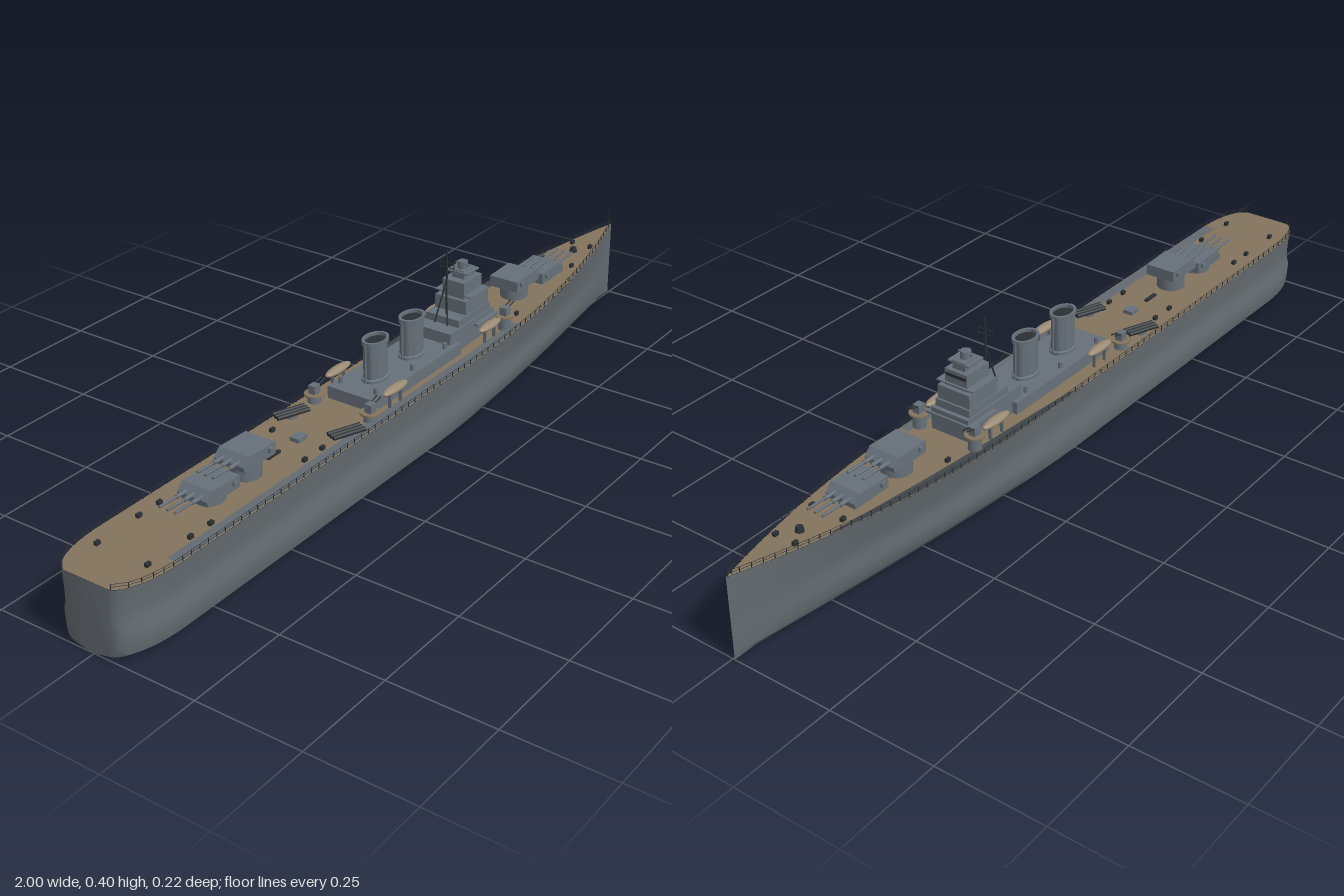
import * as THREE from 'three';
import { toCreasedNormals, mergeGeometries } from 'three/addons/utils/BufferGeometryUtils.js';

const mat = (name, color, side = THREE.FrontSide) => {
  const m = new THREE.MeshStandardMaterial({ color, side });
  m.name = name;
  return m;
};

// Half-width of the deck, midships bulge and bilge at a position along the ship
const stern = (x, full) => {
  const t = Math.min(1, (x + 1) / 0.15);
  return full * (0.5 + 0.5 * Math.sqrt(1 - (1 - t) ** 2));
};
const bow = (x, start, power) => 1 - Math.max(0, (x - start) / (1 - start)) ** power;
const deckHalf = x => stern(x, 0.108) * bow(x, 0.2, 2.2);
const bulgeHalf = x => stern(x, 0.111) * bow(x, 0.1, 1.8);
const bilgeHalf = x => stern(x, 0.105) * bow(x, 0.0, 1.6);
const deckY = x => 0.166 + 0.031 * Math.max(0, (x - 0.1) / 0.9) ** 1.5;

const stations = [];
for (let i = 0; i <= 10; i++) stations.push(-1 + 0.15 * (1 - Math.cos(i / 10 * Math.PI / 2)));
for (let i = 1; i <= 34; i++) stations.push(-0.85 + 1.85 * i / 34);

function surface(points, indices) {
  const g = new THREE.BufferGeometry();
  g.setAttribute('position', new THREE.Float32BufferAttribute(points, 3));
  g.setIndex(indices);
  g.computeVertexNormals();
  return g;
}

function hullGeometry() {
  const pts = [], idx = [];
  let n = 0;
  stations.forEach((x, i) => {
    const d = deckHalf(x), b = bulgeHalf(x), k = bilgeHalf(x), y = deckY(x);
    const half = [[d, y], [d * 0.3 + b * 0.64, 0.12], [b * 0.93, 0.085], [b, 0.068],
      [b * 0.5 + k * 0.5, 0.03], [k, 0.016], [k * 0.9, 0.01], [k * 0.5, 0.005]];
    const ring = [...half, [0, 0], ...half.slice().reverse().map(([z, h]) => [-z, h])];
    n = ring.length;
    ring.forEach(([z, h]) => pts.push(x, h, z));
    if (i === 0) return;
    for (let j = 0; j < n - 1; j++) {
      const a = (i - 1) * n + j, c = a + n;
      idx.push(a, a + 1, c, a + 1, c + 1, c);
    }
  });
  // close the stern
  const o = pts.length / 3;
  pts.push(-1, deckY(-1), 0);
  for (let j = 0; j < n - 1; j++) idx.push(o, j + 1, j);
  return toCreasedNormals(surface(pts, idx), 0.6);
}

// Deck band between two edges given as functions of x
function band(xs, zMin, zMax, lift) {
  const pts = [], idx = [];
  xs.forEach((x, i) => {
    pts.push(x, deckY(x) + lift, zMin(x), x, deckY(x) + lift, zMax(x));
    const a = 2 * i - 2;
    if (i) idx.push(a, a + 1, a + 3, a, a + 3, a + 2);
  });
  return surface(pts, idx);
}

export function createModel() {
  const root = new THREE.Group();
  root.name = 'warship';
  const ship = new THREE.Group();
  ship.name = 'ship';
  ship.position.z = -0.005;
  root.add(ship);

  const hullGrey = mat('hull grey', 0x636a6f);
  const grey = mat('superstructure grey', 0x667079);
  const wood = mat('deck wood', 0x82735d, THREE.DoubleSide);
  const tan = mat('boat tan', 0x9a8a72);
  const dark = mat('dark fittings', 0x2b3034);
  const shade = mat('waterway grey', 0x40464b, THREE.DoubleSide);

  const add = (name, geo, m, x = 0, y = 0, z = 0, parent = ship) => {
    const mesh = new THREE.Mesh(geo, m);
    mesh.name = name;
    mesh.position.set(x, y, z);
    parent.add(mesh);
    return mesh;
  };
  // Box from x range, y range and half-width
  const block = (name, x0, x1, y0, y1, half, m = grey, z = 0, parent = ship) =>
    add(name, new THREE.BoxGeometry(x1 - x0, y1 - y0, half * 2), m, (x0 + x1) / 2, (y0 + y1) / 2, z, parent);
  const rod = (name, a, b, r, m = grey, parent = ship) => {
    const p = new THREE.Vector3(...a), q = new THREE.Vector3(...b), d = q.clone().sub(p);
    const mesh = add(name, new THREE.CylinderGeometry(r, r, d.length(), 8), m, 0, 0, 0, parent);
    mesh.position.copy(p).add(q).multiplyScalar(0.5);
    mesh.quaternion.setFromUnitVectors(new THREE.Vector3(0, 1, 0), d.normalize());
    return mesh;
  };

  // Hull and deck
  add('hull', hullGeometry(), hullGrey);
  add('deck', band(stations, x => -deckHalf(x), deckHalf, 0.0005), wood);
  const range = (a, b) => Array.from({ length: 21 }, (_, i) => a + (b - a) * i / 20);
  add('leftWaterway', band(range(-0.86, 0.38), () => 0.077, x => deckHalf(x) - 0.002, 0.002), hullGrey);
  add('rightWaterway', band(range(0, 0.78), x => -deckHalf(x), x => -deckHalf(x) + 0.026 * Math.sin(Math.PI * x / 0.78) ** 0.6, 0.002), shade);

  // Railing posts and wires
  const rails = [];
  for (const s of [-1, 1]) {
    let last = null;
    for (let i = 0; i <= 80; i++) {
      const x = -0.998 + 1.994 * i / 80;
      const p = new THREE.Vector3(x, deckY(x), s * (deckHalf(x) - 0.001));
      rails.push(new THREE.BoxGeometry(0.0015, 0.012, 0.0015).translate(p.x, p.y + 0.006, p.z));
      if (last) for (const h of [0.006, 0.012]) {
        const d = p.clone().sub(last), g = new THREE.BoxGeometry(d.length(), 0.0007, 0.0007);
        g.rotateY(-Math.atan2(d.z, d.x));
        rails.push(g.translate((p.x + last.x) / 2, (p.y + last.y) / 2 + h, (p.z + last.z) / 2));
      }
      last = p;
    }
  }
  add('railings', mergeGeometries(rails), dark);
  rod('bowStaff', [0.985, 0.195, 0], [0.985, 0.24, 0], 0.0012, dark);

  // Main gun turrets: gun house with sloped front, three barrels
  const profile = new THREE.Shape([[-0.05, 0], [0.05, 0], [0.052, 0.012], [0.035, 0.03], [-0.05, 0.027]]
    .map(([x, y]) => new THREE.Vector2(x, y)));
  const turret = (name, x, y, dir) => {
    const g = new THREE.Group();
    g.name = name;
    g.position.set(x, y, 0);
    if (dir < 0) g.rotation.y = Math.PI;
    ship.add(g);
    const house = new THREE.ExtrudeGeometry(profile, { depth: 0.078, bevelEnabled: false }).translate(0, 0, -0.039);
    add('gunHouse', house, grey, 0, 0, 0, g);
    const h = y - deckY(x) + 0.002;
    add('barbette', new THREE.CylinderGeometry(0.034, 0.034, h, 24), grey, 0, -h / 2, 0, g);
    block('rangefinder', -0.038, -0.026, 0.012, 0.022, 0.045, grey, 0, g);
    for (const z of [-0.02, 0, 0.02]) {
      rod('barrelSleeve', [0.04, 0.016, z], [0.075, 0.017, z], 0.0048, grey, g);
      rod('barrel', [0.07, 0.017, z], [0.125, 0.019, z], 0.003, grey, g);
    }
  };
  turret('foreTurret', 0.63, 0.187, 1);
  turret('foreUpperTurret', 0.51, 0.209, 1);
  turret('aftUpperTurret', -0.53, 0.205, -1);
  turret('aftTurret', -0.645, 0.182, -1);

  // Deckhouse and bridge tower
  block('deckhouse', -0.17, 0.18, 0.16, 0.196, 0.062);
  block('bridgeBase', 0.15, 0.335, 0.16, 0.224, 0.05);
  block('bridgeWing', 0.25, 0.34, 0.208, 0.213, 0.062);
  block('lowerBridge', 0.19, 0.325, 0.224, 0.242, 0.046);
  block('middleBridge', 0.225, 0.32, 0.242, 0.275, 0.043);
  block('upperBridge', 0.235, 0.31, 0.275, 0.315, 0.03);
  block('bridgeDeck', 0.235, 0.315, 0.281, 0.284, 0.05);
  block('windowBand', 0.3095, 0.3115, 0.3, 0.307, 0.027, dark);
  block('directorTower', 0.255, 0.3, 0.315, 0.335, 0.017);
  block('lookoutPlatform', 0.25, 0.302, 0.329, 0.333, 0.028);
  add('director', new THREE.CylinderGeometry(0.012, 0.013, 0.018, 16), grey, 0.275, 0.343, 0);
  rod('directorRangefinder', [0.275, 0.345, -0.019], [0.275, 0.345, 0.019], 0.003);

  // Tripod mast with yards
  rod('mast', [0.208, 0.2, 0], [0.208, 0.402, 0], 0.0022, dark);
  for (const s of [-1, 1]) rod('mastLeg', [0.18, 0.196, s * 0.022], [0.208, 0.33, 0], 0.0018, dark);
  for (const y of [0.36, 0.372]) rod('yard', [0.208, y, -0.02], [0.208, y, 0.02], 0.0012, dark);
  for (const z of [-0.019, 0.019]) rod('yardPost', [0.208, 0.354, z], [0.208, 0.376, z], 0.0009, dark);

  // Funnels: oval shell with rim and dark mouth
  for (const x of [-0.075, 0.066]) {
    const g = new THREE.Group();
    g.name = 'funnel';
    g.position.set(x, 0.19, 0);
    g.scale.z = 0.72;
    ship.add(g);
    const shell = [[0.038, 0], [0.038, 0.012], [0.033, 0.014], [0.033, 0.092], [0.037, 0.094], [0.037, 0.104], [0.03, 0.104], [0.03, 0.094], [0, 0.094]];
    const lathe = new THREE.LatheGeometry(shell.map(p => new THREE.Vector2(...p)), 28);
    add('funnelShell', toCreasedNormals(lathe, 0.6), grey, 0, 0, 0, g);
    add('funnelMouth', new THREE.CylinderGeometry(0.029, 0.029, 0.002, 28), dark, 0, 0.096, 0, g);
    for (const s of [-1, 1]) rod('steamPipe', [0.037 * s, 0.005, 0], [0.037 * s, 0.1, 0], 0.003, grey, g);
  }

  // Paired equipment on both sides
  for (const s of [-1, 1]) {
    // ship's boats on cradles
    for (const x of [-0.11, 0.275]) {
      add('boat', new THREE.SphereGeometry(1, 16, 10).scale(0.045, 0.009, 0.013), tan, x, 0.207, s * 0.078);
      for (const e of [-0.02, 0.02]) block('boatCradle', x + e - 0.002, x + e + 0.002, 0.165, 0.204, 0.004, grey, s * 0.078);
    }
    // anti-aircraft mounts on round platforms
    for (const [x, y] of [[-0.2, 0.186], [0.345, 0.205]]) {
      add('gunPedestal', new THREE.CylinderGeometry(0.014, 0.016, y - 0.165, 16), grey, x, (y + 0.165) / 2, s * 0.076);
      add('gunPlatform', new THREE.CylinderGeometry(0.023, 0.023, 0.004, 20), wood, x, y, s * 0.076);
      block('gunMount', x - 0.01, x + 0.01, y, y + 0.022, 0.009, grey, s * 0.076);
      for (const z of [-0.005, 0.005]) rod('lightBarrel', [x, y + 0.018, s * 0.076 + z], [x + 0.032, y + 0.026, s * 0.076 + z], 0.0018, dark);
    }
    // angled torpedo tubes
    const tubes = new THREE.Group();
    tubes.name = 'torpedoTubes';
    tubes.position.set(-0.285, 0.178, s * 0.075);
    tubes.rotation.y = -0.38;
    ship.add(tubes);
    for (const z of [-0.011, 0, 0.011]) rod('tube', [-0.04, 0, z], [0.04, 0, z], 0.005, dark, tubes);
    add('tubeMount', new THREE.CylinderGeometry(0.014, 0.014, 0.012, 14), grey, 0, -0.008, 0, tubes);
    // bitts, vents and lockers
    for (const x of [-0.9, -0.78, -0.72, -0.42, -0.36, 0.42, 0.72, 0.84]) {
      const z = s * (deckHalf(x) * 0.62);
      block('bitt', x - 0.006, x + 0.006, deckY(x), deckY(x) + 0.009, 0.004, dark, z);
    }
    for (const x of [-0.14, 0.0, 0.13]) add('vent', new THREE.CylinderGeometry(0.005, 0.005, 0.016, 10), grey, x, 0.203, s * 0.048);
  }
  block('aftHatch', -0.46, -0.42, 0.164, 0.172, 0.004, dark);
  block('aftLocker', -0.37, -0.34, 0.164, 0.176, 0.012);
  add('capstan', new THREE.CylinderGeometry(0.008, 0.01, 0.012, 14), dark, 0.8, deckY(0.8) + 0.006, 0);
  return root;
}
